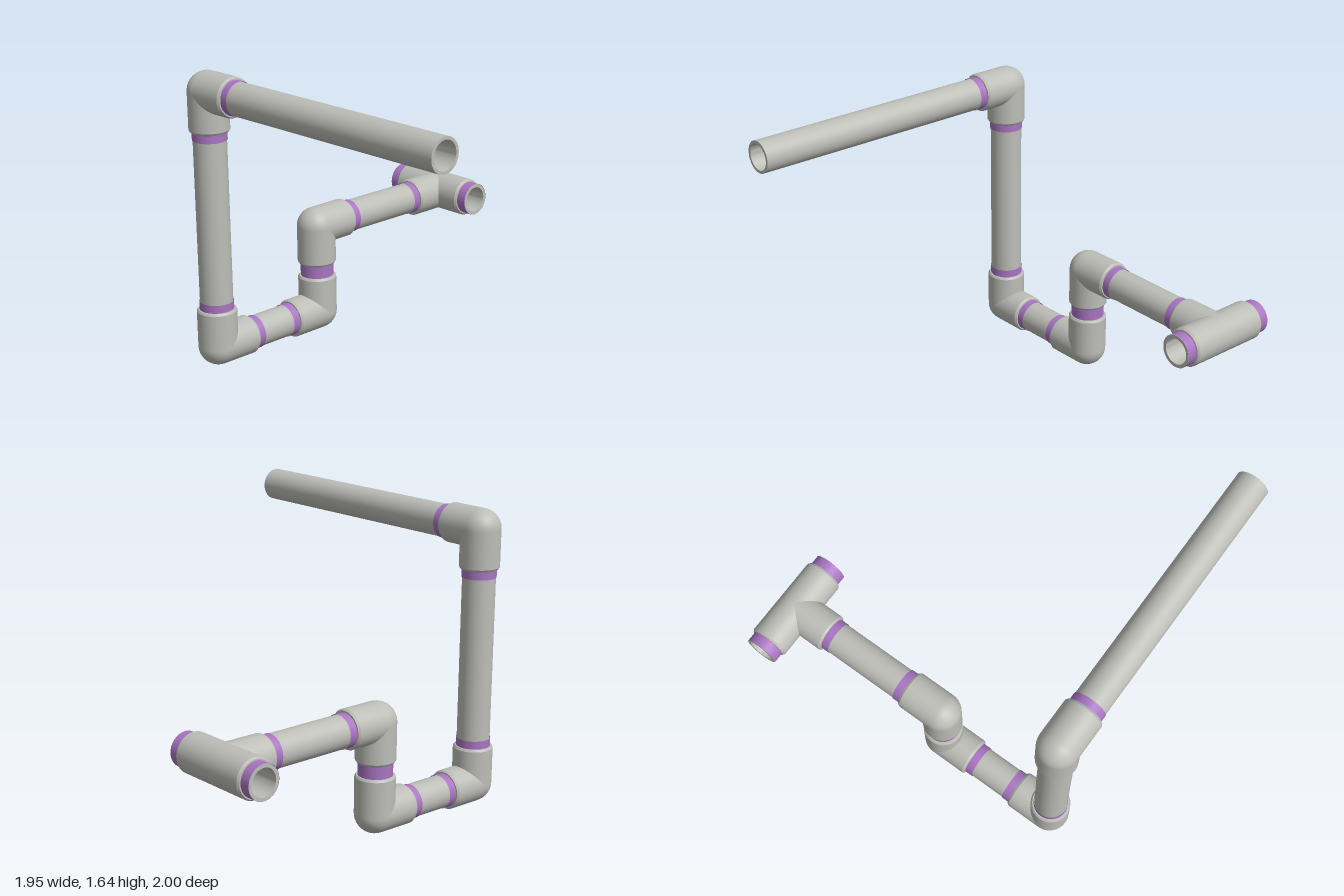
import * as THREE from 'three';
import { toCreasedNormals } from 'three/addons/utils/BufferGeometryUtils.js';

const SEG = 48;
const FIT = 0.109;   // fitting outer radius
const PIPE = 0.09;   // pipe outer radius
const BORE = 0.074;  // inner radius
const REACH = 0.217; // elbow centre to mouth
const SEAT = 0.12;   // how far from a fitting centre the pipe starts

const V = (x, y, z) => new THREE.Vector3(x, y, z);
const X = V(1, 0, 0), Y = V(0, 1, 0), Z = V(0, 0, 1);

export function createModel() {
  const model = new THREE.Group();
  const plastic = new THREE.MeshStandardMaterial({ color: 0xbdbdb8, side: THREE.DoubleSide });
  plastic.name = 'grey plastic';
  const primer = new THREE.MeshStandardMaterial({ color: 0xa974c2, side: THREE.DoubleSide });
  primer.name = 'purple primer';

  const add = (parent, name, geo, mat) => {
    const mesh = new THREE.Mesh(geo, mat);
    mesh.name = name;
    parent.add(mesh);
    return mesh;
  };
  const lathe = (pts) => toCreasedNormals(
    new THREE.LatheGeometry(pts.map(([r, y]) => new THREE.Vector2(r, y)), SEG), 0.4);

  // open cylinder along +y whose lower edge follows start(x, z)
  const wall = (r, end, start) => {
    const geo = new THREE.CylinderGeometry(r, r, 1, SEG, 1, true);
    const p = geo.attributes.position;
    for (let i = 0; i < p.count; i++) {
      p.setY(i, p.getY(i) > 0 ? end : start(p.getX(i), p.getZ(i)));
    }
    return geo;
  };
  // chamfered lip closing a socket mouth
  const lip = (end) => lathe([[FIT, end - 0.012], [FIT - 0.008, end], [PIPE - 0.002, end]]);

  // elbow with sockets toward directions a and b
  const elbow = (name, centre, a, b) => {
    const g = new THREE.Group();
    g.name = name;
    const mitre = (x) => Math.max(0, x);
    const swap = new THREE.Matrix4().makeRotationAxis(V(1, 1, 0).normalize(), Math.PI);
    for (const m of [new THREE.Matrix4(), swap]) {
      add(g, 'socket', wall(FIT, REACH - 0.012, mitre).applyMatrix4(m), plastic);
      add(g, 'socketLip', lip(REACH).applyMatrix4(m), plastic);
      add(g, 'socketBore', wall(BORE, SEAT, mitre).applyMatrix4(m), plastic);
    }
    // rounded outside corner, outer and inner skin
    for (const r of [FIT, BORE]) {
      const corner = new THREE.SphereGeometry(r, 12, 24, 0, Math.PI / 2).rotateX(Math.PI / 2);
      add(g, 'roundedCorner', corner, plastic);
    }
    g.applyMatrix4(new THREE.Matrix4().makeBasis(a, b, a.clone().cross(b)).setPosition(centre));
    model.add(g);
  };

  // hollow pipe from p to q, with primer bands [from, to] measured from p
  const pipe = (name, p, q, bands, startCut = SEAT, endCut = SEAT) => {
    const g = new THREE.Group();
    g.name = name;
    const s = startCut, e = p.distanceTo(q) - endCut;
    add(g, 'tube', lathe([[PIPE, s], [PIPE, e], [BORE, e], [BORE, s], [PIPE, s]]), plastic);
    for (const [from, to] of bands) {
      add(g, 'primerBand', wall(0.0935, to, () => from), primer);
    }
    g.quaternion.setFromUnitVectors(Y, q.clone().sub(p).normalize());
    g.position.copy(p);
    model.add(g);
  };

  const ZC = -0.695;
  const top = V(-0.868, 1.535, ZC);
  const lowLeft = V(-0.868, FIT + 0.001, ZC);
  const lowRight = V(-0.135, FIT + 0.001, ZC);
  const mid = V(-0.135, 0.616, ZC);
  const teeAt = V(0.865, 0.608, ZC);
  const neg = (v) => v.clone().negate();

  elbow('topElbow', top, Z, neg(Y));
  elbow('lowerLeftElbow', lowLeft, X, Y);
  elbow('lowerRightElbow', lowRight, neg(X), Y);
  elbow('middleElbow', mid, X, neg(Y));

  // primer bands beside both ends of a pipe
  const ends = (p, q, far = REACH, w = 0.045) => {
    const d = p.distanceTo(q);
    return [[REACH - 0.005, REACH + w], [d - far - w, d - far + 0.005]];
  };
  pipe('frontPipe', top, V(-0.868, 1.535, 1), [[REACH - 0.005, REACH + 0.045]], SEAT, 0);
  pipe('uprightPipe', lowLeft, top, ends(lowLeft, top));
  pipe('bottomPipe', lowLeft, lowRight, ends(lowLeft, lowRight));
  pipe('shortRiser', lowRight, mid, [[REACH - 0.005, 0.507 - REACH + 0.005]]);
  pipe('sidePipe', mid, teeAt, ends(mid, teeAt, 0.25));

  // tee fitting: through run along z, branch toward -x
  const tee = new THREE.Group();
  tee.name = 'teeFitting';
  const run = new THREE.Group();
  run.name = 'teeRun';
  const H = 0.247, N = 0.305;
  add(run, 'runBody', lathe([
    [PIPE, -H], [FIT - 0.008, -H], [FIT, -H + 0.012],
    [FIT, H - 0.012], [FIT - 0.008, H], [PIPE, H],
  ]), plastic);
  add(run, 'runLiner', lathe([
    [0.092, -N], [0.092, N], [BORE, N], [BORE, -N], [0.092, -N],
  ]), plastic);
  for (const s of [-1, 1]) {
    add(run, 'primerBand', wall(0.0935, s * N, () => s * (H - 0.01)), primer);
  }
  run.rotation.x = Math.PI / 2;
  tee.add(run);
  const branch = new THREE.Group();
  branch.name = 'teeBranch';
  // saddle cut where the branch meets the run
  add(branch, 'branchSocket', wall(FIT, 0.25 - 0.012, (x, z) => Math.abs(z)), plastic);
  add(branch, 'branchLip', lip(0.25), plastic);
  branch.rotation.z = Math.PI / 2;
  tee.add(branch);
  tee.position.copy(teeAt);
  model.add(tee);

  return model;
}
